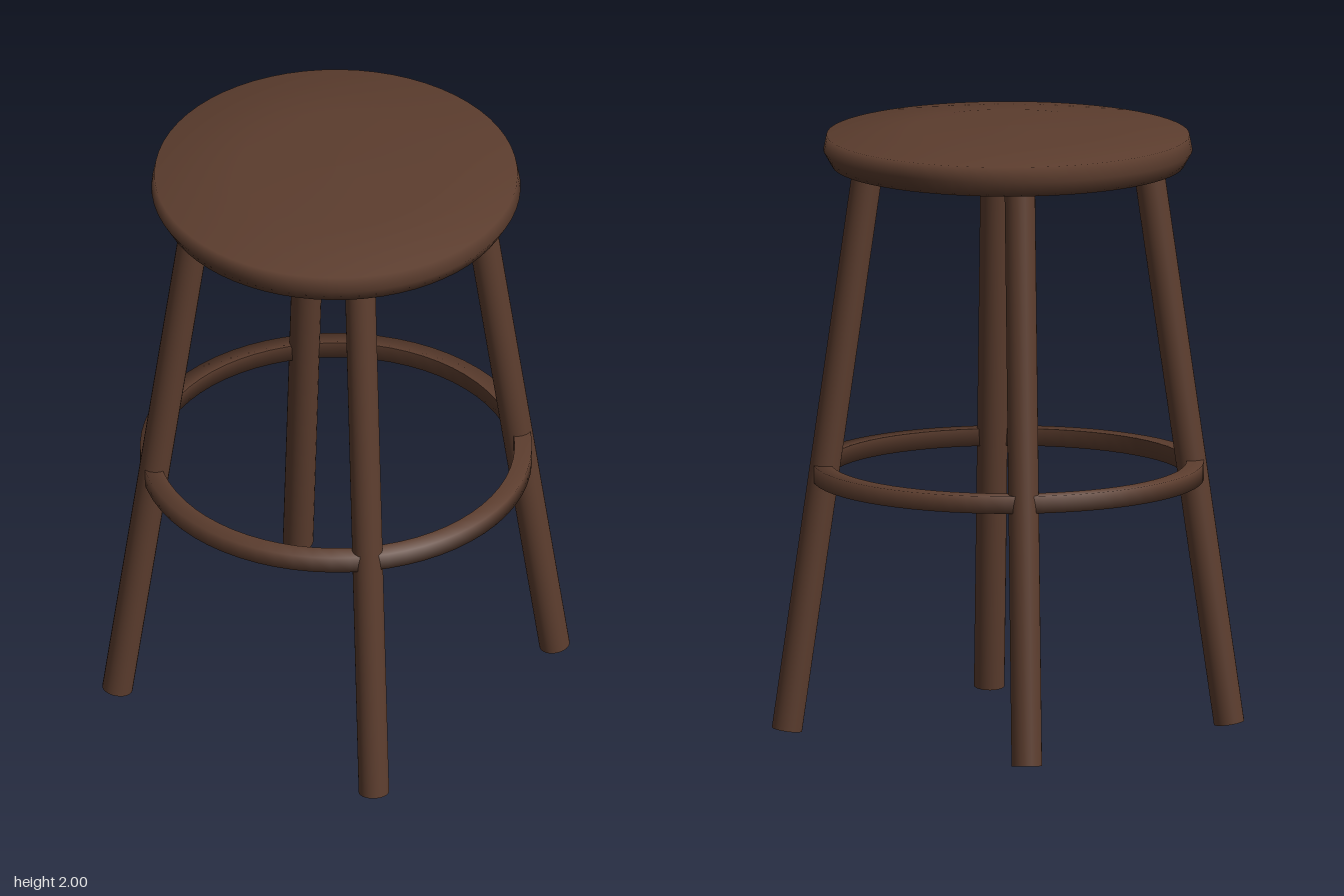
import * as THREE from 'three';

const wood = new THREE.MeshStandardMaterial({ color: 0x5c3d2e });
wood.name = 'dark brown wood';

// Revolve a profile of [radius, height] points around the vertical axis
function turned(name, profile) {
  const points = profile.map(([r, y]) => new THREE.Vector2(r, y));
  const mesh = new THREE.Mesh(new THREE.LatheGeometry(points, 64), wood);
  mesh.name = name;
  return mesh;
}

// Straight round rod between two points
function rod(name, from, to, radius) {
  const axis = to.clone().sub(from);
  const mesh = new THREE.Mesh(new THREE.CylinderGeometry(radius, radius, axis.length(), 24), wood);
  mesh.position.copy(from).addScaledVector(axis, 0.5);
  mesh.quaternion.setFromUnitVectors(new THREE.Vector3(0, 1, 0), axis.normalize());
  mesh.name = name;
  return mesh;
}

export function createModel() {
  const stool = new THREE.Group();
  stool.name = 'stool';

  // Softly domed round seat with a tapered underside edge
  stool.add(turned('seat', [
    [0, 1.87], [0.575, 1.87], [0.603, 1.92], [0.593, 1.97], [0.32, 1.994], [0, 2],
  ]));

  // Footrest hoop with a square section
  stool.add(turned('footRing', [
    [0.583, 0.886], [0.583, 0.829], [0.64, 0.829], [0.64, 0.886], [0.583, 0.886],
  ]));

  // Four legs splayed along the diagonals
  for (const [side, x] of [['Left', 1], ['Right', -1]]) {
    for (const [end, z] of [['front', 1], ['back', -1]]) {
      const foot = new THREE.Vector3(0.512 * x, 0.007, 0.512 * z);
      const top = new THREE.Vector3(0.321 * x, 1.9, 0.321 * z);
      stool.add(rod(`${end}${side}Leg`, foot, top, 0.05));
    }
  }
  return stool;
}
